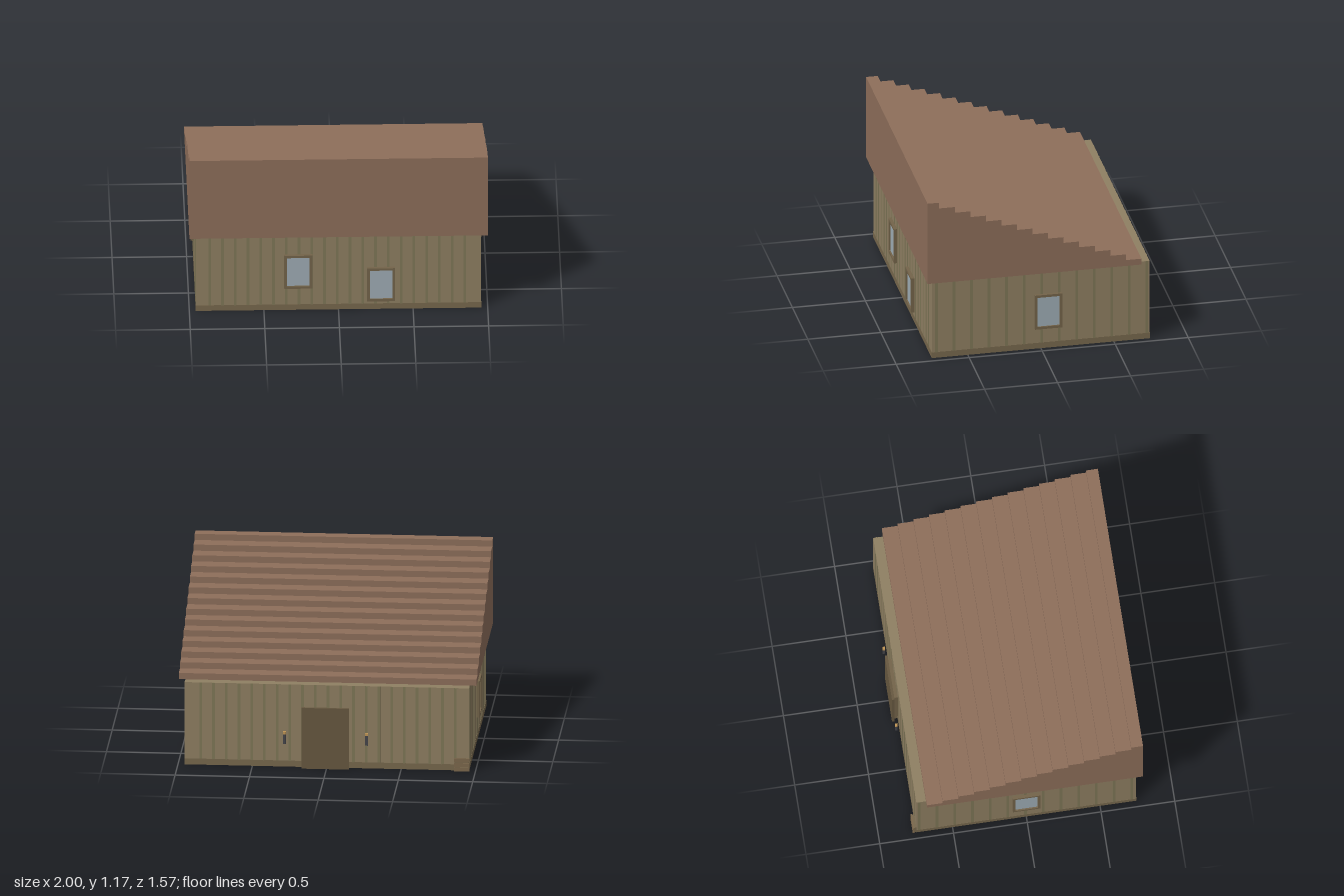
import * as THREE from 'three';

const mat = (color) => new THREE.MeshStandardMaterial({ color });
const WALL = mat(0x8f7f62), BATTEN = mat(0x7f7757), PLINTH = mat(0x77684d), ROOF = mat(0x8d6e5a);
const FRAME = mat(0x74644a), GLASS = mat(0x9fadb5), DOOR = mat(0x675840);
const IRON = mat(0x45454a), FLAME = mat(0xc09555), CRATE = mat(0x7c684c);

const HX = 0.955, HZ = 0.745, WALL_H = 0.575;

// Box given by its lower and upper corners
function box(parent, name, material, [x0, y0, z0], [x1, y1, z1]) {
  const mesh = new THREE.Mesh(new THREE.BoxGeometry(x1 - x0, y1 - y0, z1 - z0), material);
  mesh.position.set((x0 + x1) / 2, (y0 + y1) / 2, (z0 + z1) / 2);
  mesh.name = name;
  parent.add(mesh);
  return mesh;
}

// Window facing +z, standing on its local origin
function makeWindow(name) {
  const g = new THREE.Group();
  g.name = name;
  const w = 0.094, h = 0.253, t = 0.018, d = 0.022;
  for (const s of [-1, 1]) {
    const a = s * w, b = s * (w - t);
    box(g, 'windowJamb', FRAME, [Math.min(a, b), 0, 0], [Math.max(a, b), h, d]);
  }
  box(g, 'windowSill', FRAME, [-w + t, 0, 0], [w - t, t, d]);
  box(g, 'windowHead', FRAME, [-w + t, h - t, 0], [w - t, h, d]);
  box(g, 'windowPane', GLASS, [-w + t, t, 0], [w - t, h - t, 0.012]);
  return g;
}

// Monopitch roof: stepped side profile swept across the width
function makeRoof() {
  const steps = 14, run = 0.1065, rise = 0.0426, front = 0.785;
  const s = new THREE.Shape();
  s.moveTo(-front, WALL_H);
  let z = 0.705, y = 1.172;
  for (let i = 0; i < steps; i++) {
    if (i === 0) s.lineTo(-front, y);
    s.lineTo(-z, y);
    y -= rise;
    if (i < steps - 1) s.lineTo(-z, y);
    else s.lineTo(-z, WALL_H);
    z -= run;
  }
  s.closePath();
  const geo = new THREE.ExtrudeGeometry(s, { depth: 2, bevelEnabled: false });
  geo.translate(0, 0, -1);
  geo.rotateY(Math.PI / 2);
  const roof = new THREE.Mesh(geo, ROOF);
  roof.name = 'steppedRoof';
  return roof;
}

export function createModel() {
  const house = new THREE.Group();
  house.name = 'house';

  box(house, 'walls', WALL, [-HX, 0, -HZ], [HX, WALL_H, HZ]);
  house.add(makeRoof());

  // Vertical battens and plinth boards on all four walls
  const battens = new THREE.Group();
  battens.name = 'battens';
  house.add(battens);
  const p = 0.002, hw = 0.009;
  for (const s of [-1, 1]) {
    const zf = [s * HZ, s * (HZ + p)].sort((a, b) => a - b);
    const xf = [s * HX, s * (HX + p)].sort((a, b) => a - b);
    for (let i = -10; i <= 10; i++) {
      const x = i * 0.0855 - 0.008;
      box(battens, 'batten', BATTEN, [x - hw, 0.04, zf[0]], [x + hw, WALL_H, zf[1]]);
    }
    for (let i = -6; i <= 6; i++) {
      const z = i * 0.12 - 0.005;
      box(battens, 'batten', BATTEN, [xf[0], 0.04, z - hw], [xf[1], WALL_H, z + hw]);
    }
    box(house, 'plinthBoard', PLINTH, [-HX, 0, zf[0]], [HX, 0.042, zf[1]]);
    box(house, 'sidePlinthBoard', PLINTH, [xf[0], 0, -HZ], [xf[1], 0.042, HZ]);
  }

  // Windows: name, x, y, z, turn
  for (const [name, x, y, z, turn] of [
    ['frontWindowUpper', -0.27, 0.172, HZ, 0],
    ['frontWindowLower', 0.285, 0.068, HZ, 0],
    ['leftWindow', HX, 0.15, -0.05, Math.PI / 2],
    ['rightWindow', -HX, 0.174, 0, -Math.PI / 2],
  ]) {
    const w = makeWindow(name);
    w.position.set(x, y, z);
    w.rotation.y = turn;
    house.add(w);
  }

  // Back door: recessed block with a wider slab in front
  box(house, 'doorFrame', FRAME, [-0.132, 0, -0.77], [0.147, 0.402, -HZ]);
  box(house, 'door', DOOR, [-0.152, 0, -0.787], [0.167, 0.425, -0.769]);

  // Lanterns either side of the door
  for (const x of [-0.27, 0.283]) {
    const lantern = new THREE.Group();
    lantern.name = 'lantern';
    house.add(lantern);
    box(lantern, 'lanternBody', IRON, [x - 0.01, 0.17, -0.785], [x + 0.01, 0.237, -0.768]);
    box(lantern, 'lanternTop', FLAME, [x - 0.01, 0.237, -0.785], [x + 0.01, 0.254, -0.768]);
  }

  // Slatted crate at the back corner
  const crate = new THREE.Group();
  crate.name = 'crate';
  house.add(crate);
  box(crate, 'crateBody', PLINTH, [-0.955, 0, -0.764], [-0.858, 0.088, -HZ]);
  for (let i = 0; i < 3; i++) {
    box(crate, 'crateSlat', CRATE, [-0.96, i * 0.032, -0.77], [-0.855, i * 0.032 + 0.026, -0.76]);
  }
  return house;
}
